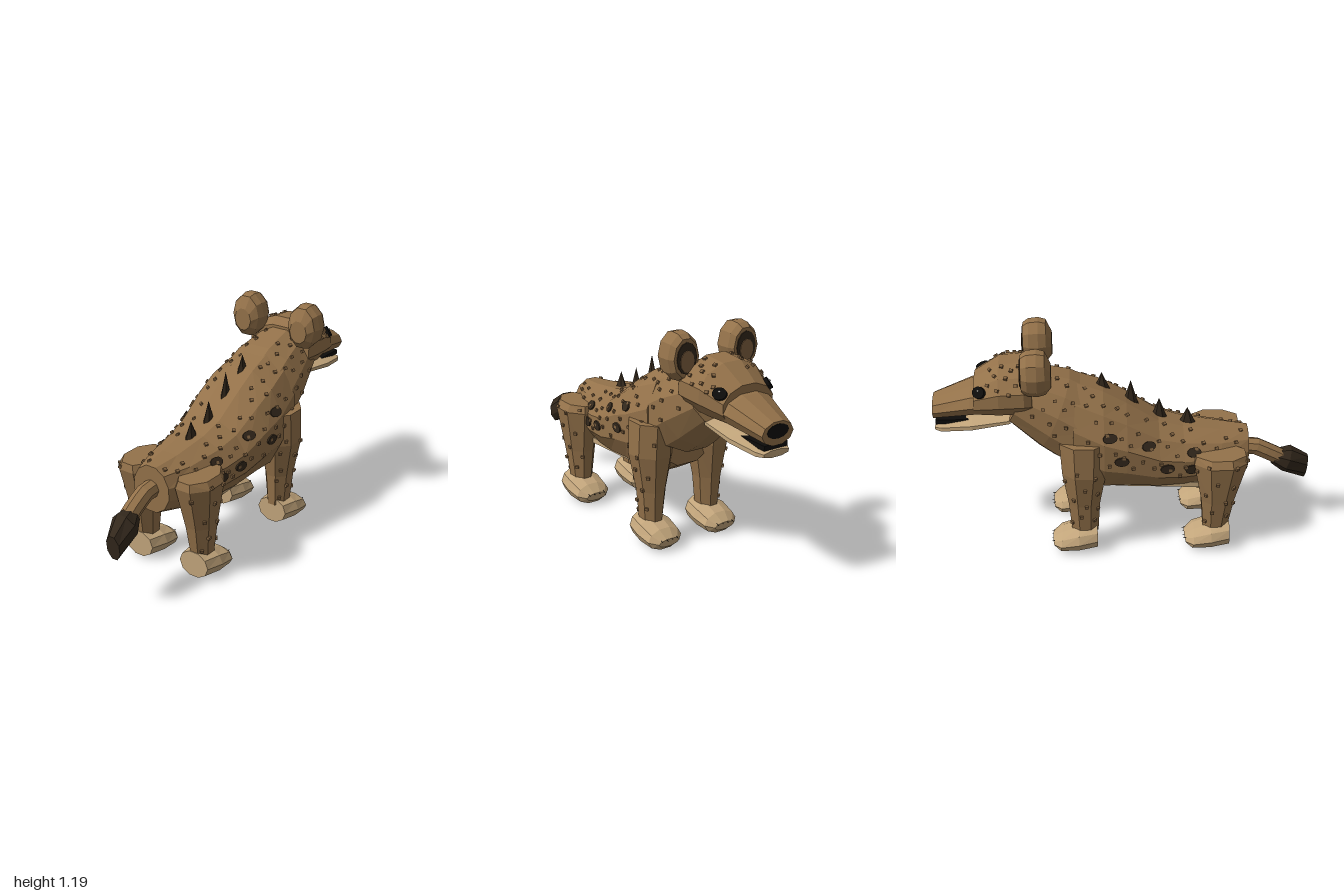
import * as THREE from 'three';

const mat = (name, color, opt = {}) => Object.assign(new THREE.MeshStandardMaterial({ color, flatShading: true, ...opt }), { name });
const fur = mat('fur brown', 0x94724a);
const furDark = mat('tuft brown', 0x7f6140);
const tan = mat('pale tan', 0xc2a57b);
const spotDark = mat('spot dark', 0x33281c);
const black = mat('black', 0x0d0c0b);
const glint = mat('eye glint', 0xd8d4cc);

// Cross-section: [topZ, topY, bottomZ, bottomY, halfWidth, centreX]; sections run towards -z or down.
function ringPoint([zt, yt, zb, yb, hw, cx = 0], j, n) {
  const a = (j + 0.5) * 2 * Math.PI / n, k = 1 / Math.cos(Math.PI / n);
  const c = Math.cos(a) * k / 2, s = Math.sin(a) * k;
  return new THREE.Vector3(cx + hw * s, (yt + yb) / 2 + (yt - yb) * c, (zt + zb) / 2 + (zt - zb) * c);
}

function loft(rings, n) {
  const pos = [], idx = [];
  rings.forEach(r => { for (let j = 0; j < n; j++) pos.push(...ringPoint(r, j, n).toArray()); });
  const last = rings.length - 1;
  for (let i = 0; i < last; i++) for (let j = 0; j < n; j++) {
    const a = i * n + j, b = i * n + (j + 1) % n;
    idx.push(a, b, a + n, b, b + n, a + n);
  }
  for (let j = 1; j < n - 1; j++) {
    idx.push(0, j + 1, j);
    idx.push(last * n, last * n + j, last * n + j + 1);
  }
  const g = new THREE.BufferGeometry();
  g.setAttribute('position', new THREE.Float32BufferAttribute(pos, 3));
  g.setIndex(idx);
  g.computeVertexNormals();
  return g;
}

// Point and outward normal on a loft: u along the sections, v around them.
function surface(rings, n, u, v) {
  const i = Math.min(Math.floor(u), rings.length - 2), j = Math.floor(v), fu = u - i, fv = v - j;
  const a = ringPoint(rings[i], j, n), b = ringPoint(rings[i], j + 1, n);
  const c = ringPoint(rings[i + 1], j, n), d = ringPoint(rings[i + 1], j + 1, n);
  const p = a.clone().lerp(b, fv).lerp(c.clone().lerp(d, fv), fu);
  const du = c.clone().lerp(d, fv).sub(a.clone().lerp(b, fv));
  const dv = b.clone().lerp(d, fu).sub(a.clone().lerp(c, fu));
  return { p, normal: dv.cross(du).normalize() };
}

const BODY = [
  [.65, .63, .65, .38, .11], [.5, .645, .5, .345, .175], [.3, .675, .3, .33, .215], [.17, .715, .17, .325, .235],
  [0, .83, 0, .33, .255], [-.12, .9, -.12, .32, .26], [-.26, .95, -.3, .42, .235]];
const NECK = [[-.12, .88, -.38, .52, .23], [-.29, .97, -.46, .58, .215], [-.5, 1.02, -.62, .73, .17]];
const HEAD = [
  [-.48, 1.03, -.48, .8, .19], [-.52, 1.07, -.52, .785, .205], [-.65, 1.06, -.65, .775, .195], [-.78, .98, -.78, .775, .15]];
const MUZZLE = [[-.72, .95, -.72, .785, .15], [-.8, .935, -.8, .775, .14], [-1, .86, -1, .745, .09]];
const JAW = [[-.6, .775, -.6, .735, .12], [-.8, .755, -.8, .7, .125], [-.96, .73, -.96, .68, .095], [-.995, .72, -.995, .685, .075]];
const EAR = [
  [-.38, 1.12, -.38, 1.0, .05], [-.41, 1.185, -.41, .965, .08], [-.45, 1.195, -.45, .955, .09],
  [-.5, 1.19, -.5, .96, .086], [-.53, 1.17, -.53, .98, .07]];
const REAR_LEG = [
  [.36, .58, .62, .58, .085], [.35, .54, .63, .54, .108], [.395, .3, .57, .3, .075], [.41, .12, .54, .12, .053]];
const FRONT_LEG = [
  [-.35, .68, -.1, .68, .1], [-.34, .5, -.11, .5, .106], [-.31, .3, -.145, .3, .07], [-.295, .12, -.155, .12, .053]];
const FOOT = [
  [.55, .155, .55, .015, .085], [.45, .148, .45, .005, .105], [.36, .115, .35, .005, .098], [.31, .075, .32, .03, .06]];
const TUFT = [[1, .41, .985, .28, .04, .04], [.9, .475, .855, .345, .07, .02], [.83, .475, .79, .4, .045, .005]];

const shift = (rings, x, z = 0) => rings.map(r => [r[0] + z, r[1], r[2] + z, r[3], r[4], x]);
let seed = 7;
const rand = () => (seed = (seed * 16807) % 2147483647) / 2147483647;

export function createModel() {
  const model = new THREE.Group();
  model.name = 'spottedAnimal';
  const add = (name, geometry, material, parent = model) => {
    const m = new THREE.Mesh(geometry, material);
    m.name = name;
    parent.add(m);
    return m;
  };
  const stick = (m, { p, normal }, lift) => {
    m.position.copy(p).addScaledVector(normal, lift);
    m.lookAt(m.position.clone().add(normal));
    return m;
  };
  const disc = new THREE.CylinderGeometry(1, 1, 1, 12).rotateX(Math.PI / 2);
  const tuftBox = new THREE.BoxGeometry(.018, .016, .016);

  // Trunk, neck and head
  add('body', loft(BODY, 12), fur);
  add('neck', loft(NECK, 12), fur);
  add('head', loft(HEAD, 12), fur);
  add('muzzle', loft(MUZZLE, 10), fur);
  add('lowerJaw', loft(JAW, 8), tan);
  add('mouth', new THREE.BoxGeometry(.14, .025, .17), black).position.set(0, .737, -.905);
  const nose = add('nose', disc, black);
  nose.scale.set(.065, .036, .008);
  nose.position.set(0, .813, -.998);
  const belly = add('bellyPatch', new THREE.BoxGeometry(.31, .03, .46), tan);
  belly.position.set(0, .375, .17);
  belly.rotation.x = .05;

  // Tail and its dark tip
  const tailPath = new THREE.CatmullRomCurve3([[0, .5, .6], [0, .51, .68], [0, .475, .76], [.005, .43, .84]].map(p => new THREE.Vector3(...p)));
  add('tail', new THREE.TubeGeometry(tailPath, 5, .048, 8), fur);
  add('tailTip', loft(TUFT, 8), spotDark);

  // Spikes along the spine
  [[.325, .71, .09], [.175, .755, .12], [.025, .85, .15], [-.125, .925, .1]].forEach(([z, y, h]) => {
    const spike = add('spineSpike', new THREE.ConeGeometry(.045, h, 6), spotDark);
    spike.scale.x = .5;
    spike.position.set(0, y, z);
  });

  // Small raised fur tufts scattered on a loft
  const scatter = (name, rings, n, count, u0, u1, v0, v1) => {
    for (let k = 0; k < count; k++) {
      const u = u0 + (u1 - u0) * (k + .2 + .6 * rand()) / count;
      const v = v0 + (v1 - v0) * ((k * .618 + .15 * rand()) % 1);
      stick(add(name, tuftBox, furDark), surface(rings, n, u, v), .002);
    }
  };

  for (const s of [1, -1]) {
    const side = v => s > 0 ? v : 11 - v; // mirrored position around a twelve-sided section

    // Dark oval spots on the flank
    [[1.75, 1.5], [1.8, 2.5], [2.7, 2.45], [3.35, 1.5], [4.25, 2.5], [4.75, 1.7]].forEach(([u, v]) => {
      const spot = stick(add('flankSpot', disc, spotDark), surface(BODY, 12, u, side(v)), .004);
      spot.scale.set(.038, .026, .009);
    });
    scatter('bodyTuft', BODY, 12, 46, .2, 5.8, side(.1), side(2.9));
    scatter('neckTuft', NECK, 12, 14, .5, 1.8, side(.1), side(2.9));
    scatter('headTuft', HEAD, 12, 10, 1.1, 2.5, side(0), side(2));

    // Eye
    const at = surface(HEAD, 12, 2.72, side(1.5));
    stick(add('eye', disc, black), at, .008).scale.set(.036, .031, .018);
    const g = stick(add('eyeGlint', disc, glint), at, .018);
    g.scale.set(.005, .005, .004);
    g.position.y += .01;

    // Ear with layered inner cup
    add('ear', loft(shift(EAR, s * .18), 10), fur);
    [['earHollow', spotDark, .058, .08, 1.075, -.531], ['innerEar', furDark, .04, .055, 1.06, -.535]].forEach(([name, m, w, h, y, z]) => {
      const d = add(name, disc, m);
      d.scale.set(w, h, .008);
      d.position.set(s * .18, y, z);
    });

    // Legs, feet and claws
    [['rear', REAR_LEG, 0], ['front', FRONT_LEG, -.71]].forEach(([end, rings, dz]) => {
      const leg = shift(rings, s * .18);
      add(end + 'Leg', loft(leg, 8), fur);
      scatter(end + 'LegTuft', leg, 8, 12, .5, 2.8, s > 0 ? 0 : 4, s > 0 ? 3 : 7);
      add(end + 'Foot', loft(shift(FOOT, s * .18, dz), 10), tan);
      for (let k = 0; k < 4; k++) {
        const claw = add('claw', new THREE.ConeGeometry(.009, .05, 5).rotateX(-Math.PI / 2 - .15), black);
        claw.position.set(s * .18 + (k - 1.5) * .032, .072, .325 + dz);
      }
    });
  }
  return model;
}
